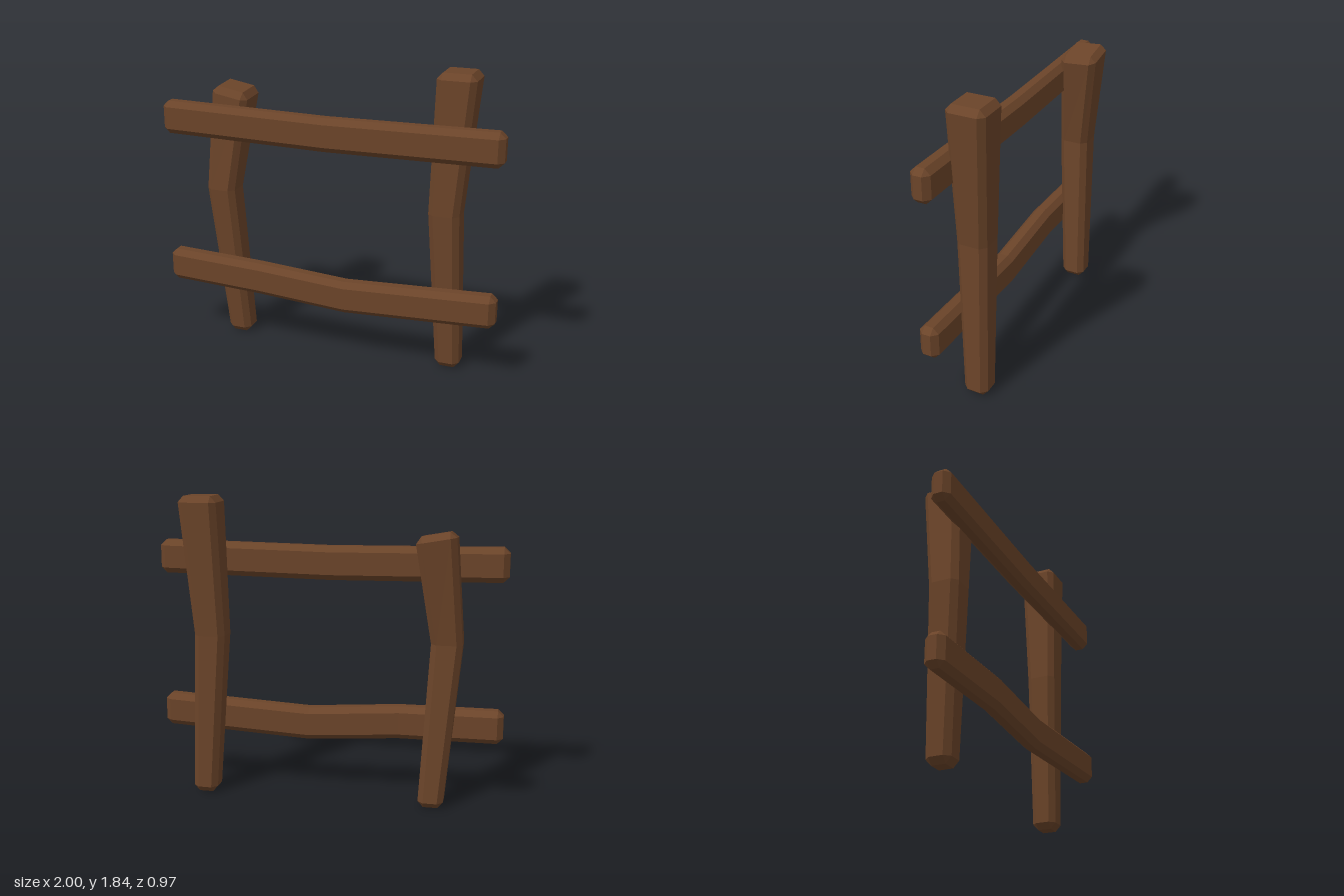
import * as THREE from 'three';

const wood = new THREE.MeshStandardMaterial({ color: 0x6b4429, flatShading: true });
const BEVEL = 0.034;

// Corners of a rectangle with cut corners, counter-clockwise
function section(a, b, c) {
  return [[a, -b + c], [a, b - c], [a - c, b], [-a + c, b],
    [-a, b - c], [-a, -b + c], [-a + c, -b], [a - c, -b]];
}

// Bevelled beam lofted through rings; place(ring, u, v) gives the position of a corner.
// The first and last rings are the inset end faces.
function beam(name, rings, place) {
  const loops = rings.map((r, i) => {
    const end = i === 0 || i === rings.length - 1;
    const inset = end ? BEVEL : 0;
    return section(r.a - inset, r.b - inset, end ? 0 : BEVEL).map(([u, v]) => place(r, u, v));
  });
  const pos = [];
  const tri = (p, q, r) => {
    const n = q.clone().sub(p).cross(r.clone().sub(p));
    if (n.length() > 1e-7) for (const w of [p, q, r]) pos.push(w.x, w.y, w.z);
  };
  for (let i = 0; i < loops.length - 1; i++) {
    for (let j = 0; j < 8; j++) {
      const k = (j + 1) % 8, lo = loops[i], hi = loops[i + 1];
      tri(lo[j], lo[k], hi[k]);
      tri(lo[j], hi[k], hi[j]);
    }
  }
  const first = loops[0], last = loops[loops.length - 1];
  for (let j = 1; j < 7; j++) {
    tri(first[0], first[j + 1], first[j]);
    tri(last[0], last[j], last[j + 1]);
  }
  const geo = new THREE.BufferGeometry();
  geo.setAttribute('position', new THREE.Float32BufferAttribute(pos, 3));
  geo.computeVertexNormals();
  const mesh = new THREE.Mesh(geo, wood);
  mesh.name = name;
  return mesh;
}

// Upright post: rows of [x, y, z, half width, slope along x, slope along z]
function post(name, rows) {
  const rings = rows.map(([x, y, z, a, sx = 0, sz = 0]) => ({ x, y, z, a, b: a, sx, sz }));
  // u runs along z and v along x so that the faces point outwards
  return beam(name, rings, (r, u, v) =>
    new THREE.Vector3(r.x + v, r.y + r.sx * v + r.sz * u, r.z + u));
}

// Horizontal rail: rows of [x, y, z]
function rail(name, rows) {
  const rings = rows.map(([x, y, z]) => ({ x, y, z, a: 0.102, b: 0.06 }));
  return beam(name, rings, (r, u, v) => new THREE.Vector3(r.x, r.y + u, r.z + v));
}

export function createModel() {
  const model = new THREE.Group();
  model.name = 'fence';

  // The whole fence runs diagonally
  const frame = new THREE.Group();
  frame.name = 'fenceSection';
  frame.rotation.y = THREE.MathUtils.degToRad(20.8);
  frame.position.z = 0.067;
  model.add(frame);

  // Posts widen upwards and bend in the middle
  frame.add(post('rightPost', [
    [-0.65, 0, -0.147, 0.076],
    [-0.65, 0.037, -0.147, 0.076],
    [-0.721, 1, -0.101, 0.092],
    [-0.653, 1.602, -0.154, 0.115, -0.18, -0.07],
    [-0.648, 1.64, -0.154, 0.115, -0.18, -0.07],
  ]));
  frame.add(post('leftPost', [
    [0.752, 0, -0.155, 0.076],
    [0.752, 0.037, -0.155, 0.076],
    [0.704, 1, -0.135, 0.093],
    [0.749, 1.8, -0.156, 0.116],
    [0.749, 1.837, -0.156, 0.116],
  ]));

  // Rails sag slightly
  frame.add(rail('upperRail', [
    [-1.06, 1.452, 0], [-1.025, 1.452, 0], [0, 1.437, 0],
    [1.025, 1.452, 0], [1.06, 1.452, 0],
  ]));
  frame.add(rail('lowerRail', [
    [-1.06, 0.475, 0], [-1.025, 0.475, 0], [-0.43, 0.466, 0.018],
    [0.13, 0.428, 0.008], [1.025, 0.475, 0], [1.06, 0.475, 0],
  ]));
  return model;
}
